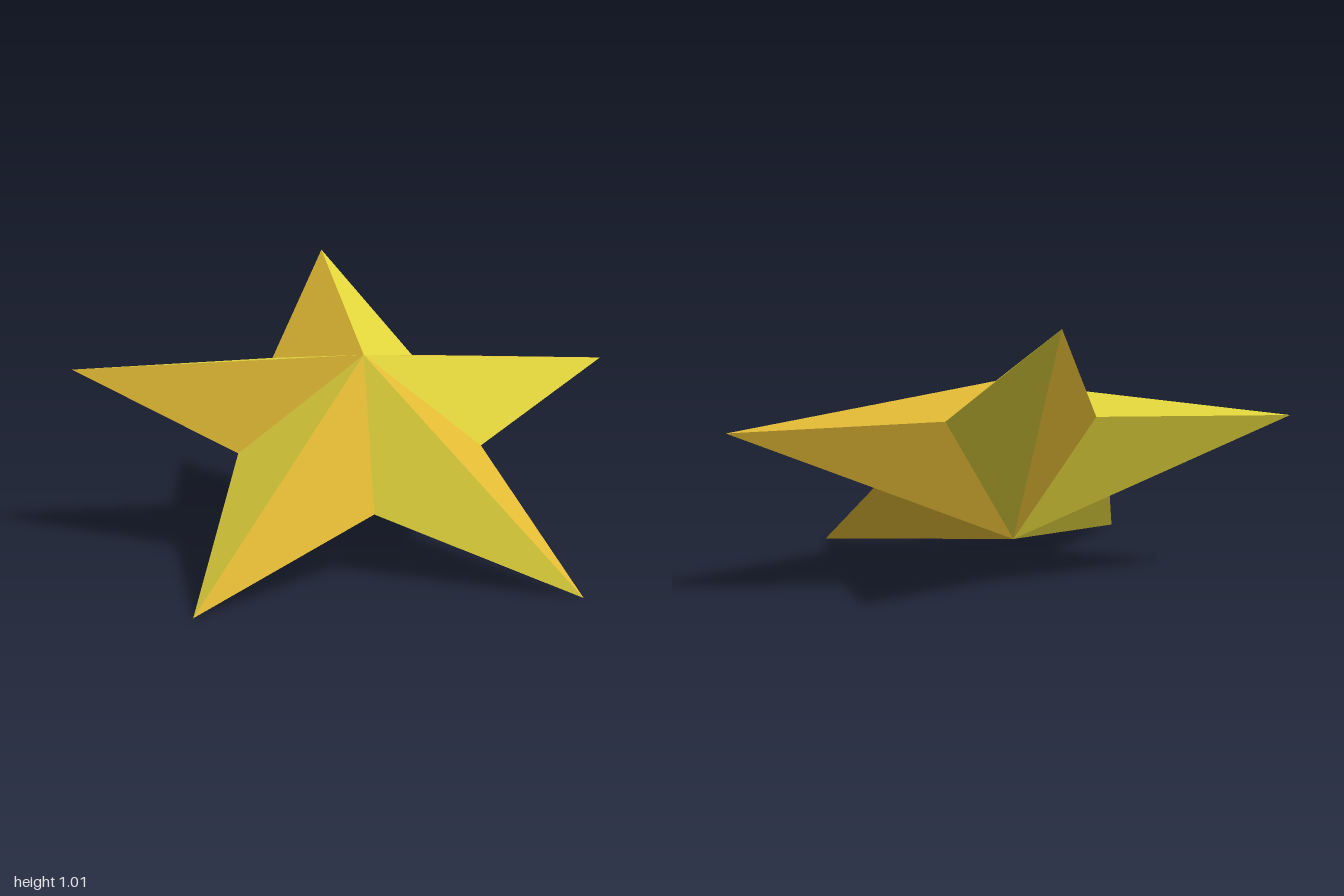
import * as THREE from 'three';

const R = 1.0515;    // tip radius
const r = 0.452;     // notch radius
const DEPTH = 0.314; // centre height on each side

// One arm pointing up: a left and a right half, each with a front and a back face
function armGeometry() {
  const a = Math.PI / 5;
  const tip = [0, R, 0];
  const left = [-r * Math.sin(a), r * Math.cos(a), 0];
  const right = [r * Math.sin(a), r * Math.cos(a), 0];
  const front = [0, 0, DEPTH];
  const back = [0, 0, -DEPTH];
  const corners = [
    front, tip, left, back, left, tip,   // left half
    front, right, tip, back, tip, right, // right half
  ];
  const geometry = new THREE.BufferGeometry();
  geometry.setAttribute('position', new THREE.Float32BufferAttribute(corners.flat(), 3));
  geometry.addGroup(0, 6, 0);
  geometry.addGroup(6, 6, 1);
  geometry.computeVertexNormals(); // unshared corners give flat facets
  return geometry;
}

export function createModel() {
  const amber = new THREE.MeshStandardMaterial({ color: 0xe2ba35 });
  amber.name = 'amber';
  const yellow = new THREE.MeshStandardMaterial({ color: 0xe2d53c });
  yellow.name = 'yellow';

  // Five arms around the centre
  const star = new THREE.Group();
  star.name = 'star';
  const geometry = armGeometry();
  for (let i = 0; i < 5; i++) {
    const arm = new THREE.Mesh(geometry, [amber, yellow]);
    arm.name = `arm${i + 1}`;
    arm.rotation.z = (i * Math.PI * 2) / 5;
    star.add(arm);
  }

  // Leaning back, resting on its two lower tips
  star.rotation.x = -1.01;
  star.position.set(0, 0.452, 0.085);

  const model = new THREE.Group();
  model.name = 'facetedStar';
  model.add(star);
  return model;
}
